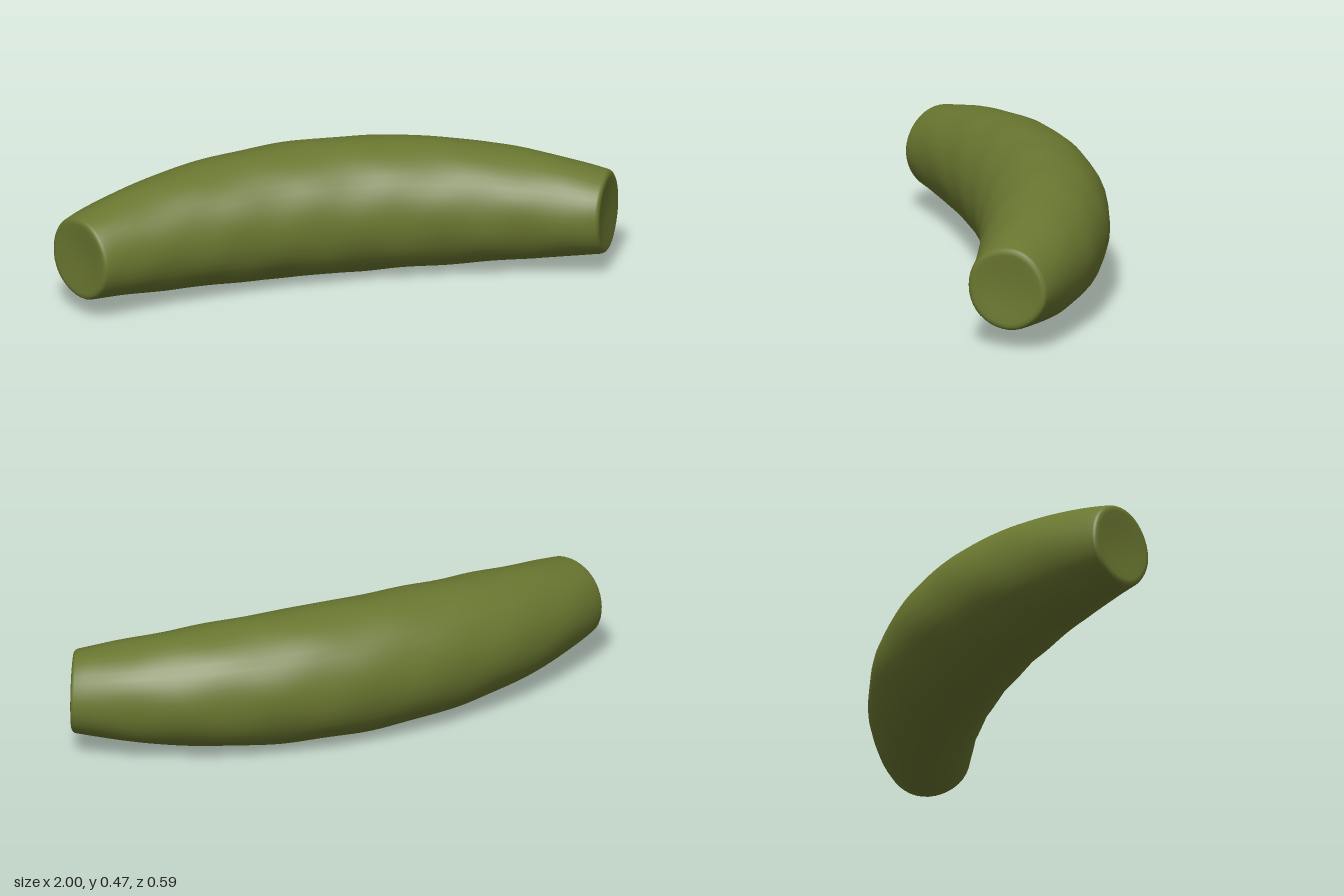
import * as THREE from 'three';

const SIDES = 40, STEPS = 56;
const BEND = 1.995, BEND_Z = 1.93, HALF_ANGLE = THREE.MathUtils.degToRad(27.7);

// One ring (or pole when radius is 0) of the bent body; push moves it outward along the axis
function ring(t, radius, push) {
  const a = t * HALF_ANGLE, points = [];
  const cx = BEND * Math.sin(a) + push * Math.cos(a);
  const cz = BEND_Z - BEND * Math.cos(a) + push * Math.sin(a);
  const cy = 0.237 - 0.018 * t * t;
  for (let i = 0; i < SIDES; i++) {
    const p = (i / SIDES) * Math.PI * 2;
    // gentle organic lumps
    const lump = 1 + 0.007 * Math.sin(3 * p + 9 * t) * Math.cos(13 * t + p) + 0.006 * Math.sin(5 * p - 17 * t);
    const out = Math.cos(p) * radius * 0.985 * lump;
    const up = Math.sin(p) * radius * lump;
    points.push(cx + out * Math.sin(a), cy + up, cz - out * Math.cos(a));
  }
  return points;
}

function bodyGeometry() {
  // Cut end: rounded rim, then a shallow dimple towards the centre [radius, push]
  const cap = [[0.143, 0.007], [0.136, 0.012], [0.124, 0.013], [0.09, 0.009], [0.045, 0.006], [0, 0.005]];
  const rings = [];
  [...cap].reverse().forEach(([r, push]) => rings.push(ring(-1, r, -push)));
  for (let s = 0; s <= STEPS; s++) {
    const t = -1 + (2 * s) / STEPS;
    rings.push(ring(t, 0.235 - 0.088 * Math.pow(Math.abs(t), 2.1), 0));
  }
  cap.forEach(([r, push]) => rings.push(ring(1, r, push)));

  const index = [];
  for (let j = 0; j < rings.length - 1; j++) {
    for (let i = 0; i < SIDES; i++) {
      const k = (i + 1) % SIDES;
      const a = j * SIDES + i, b = j * SIDES + k;
      const c = a + SIDES, d = b + SIDES;
      if (j > 0) index.push(a, b, c);
      if (j < rings.length - 2) index.push(b, d, c);
      else index.push(); // pole: second triangle collapses
    }
  }
  const geometry = new THREE.BufferGeometry();
  geometry.setAttribute('position', new THREE.Float32BufferAttribute(rings.flat(), 3));
  geometry.setIndex(index);

  // First pole triangles use (b, d, c); the last use (a, b, c), so every pole stays closed
  geometry.computeVertexNormals();
  const normal = geometry.attributes.normal;
  const last = (rings.length - 1) * SIDES;
  for (let i = 0; i < SIDES; i++) {
    normal.setXYZ(i, -Math.cos(HALF_ANGLE), 0, Math.sin(HALF_ANGLE));
    normal.setXYZ(last + i, Math.cos(HALF_ANGLE), 0, Math.sin(HALF_ANGLE));
  }
  return geometry;
}

export function createModel() {
  const group = new THREE.Group();
  group.name = 'curvedVegetable';
  const skin = new THREE.MeshStandardMaterial({ color: 0x6a7730 });
  skin.name = 'olive green skin';
  const body = new THREE.Mesh(bodyGeometry(), skin);
  body.name = 'body';
  group.add(body);
  return group;
}
